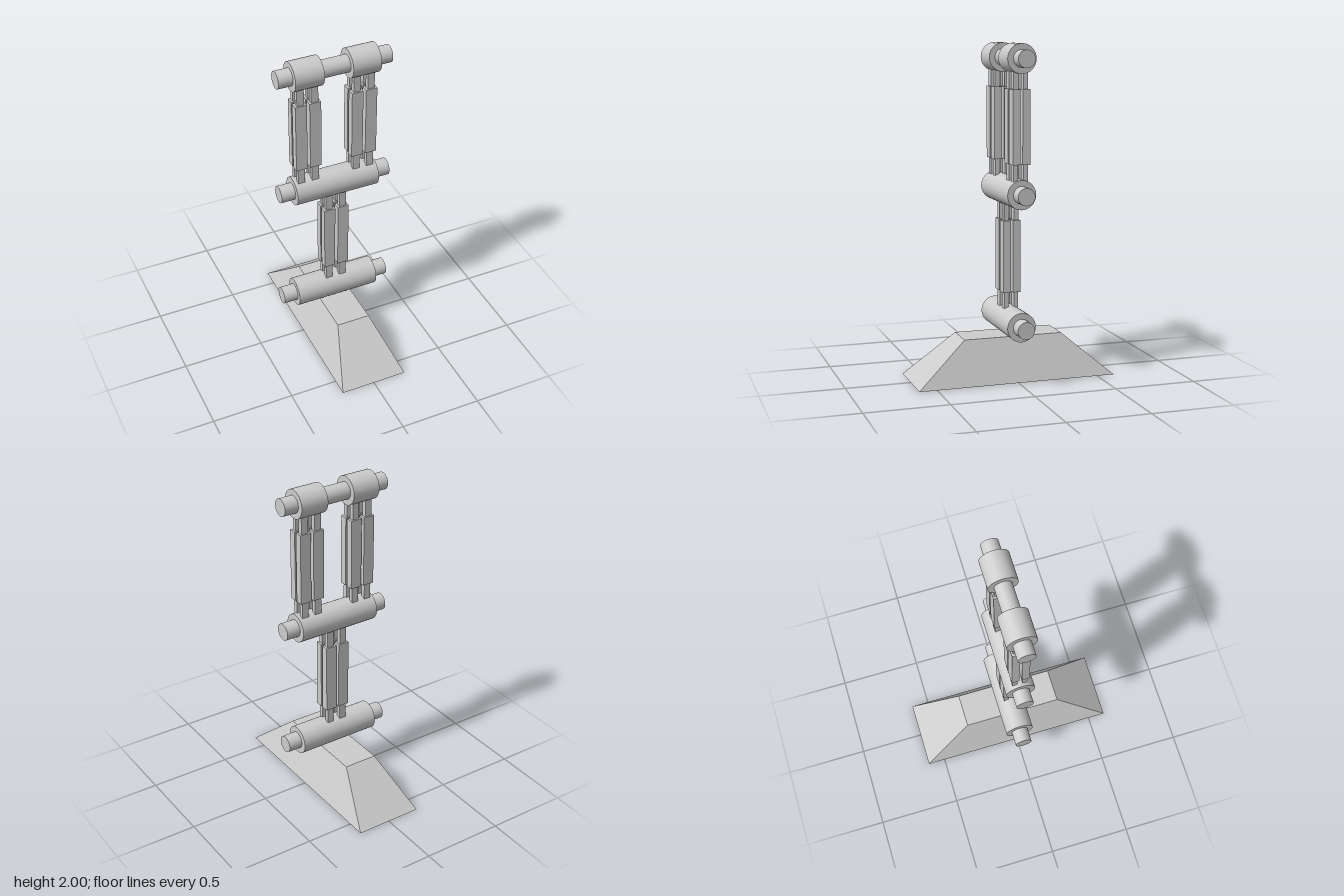
import * as THREE from 'three';

export function createModel() {
  const model = new THREE.Group();
  const grey = new THREE.MeshStandardMaterial({ color: 0xcccccc });
  grey.name = 'light grey';

  const add = (name, geometry, x, y, z, parent = model) => {
    const mesh = new THREE.Mesh(geometry, grey);
    mesh.name = name;
    mesh.position.set(x, y, z);
    parent.add(mesh);
  };
  const barrel = (radius, length) =>
    new THREE.CylinderGeometry(radius, radius, length, 32).rotateZ(Math.PI / 2);

  // Tapered foot: a box whose top is half as wide and half as long
  const foot = new THREE.BoxGeometry(0.416, 0.26, 1.214).toNonIndexed();
  const p = foot.attributes.position;
  for (let i = 0; i < p.count; i++) {
    if (p.getY(i) > 0) p.setXYZ(i, p.getX(i) / 2, p.getY(i), p.getZ(i) / 2);
  }
  foot.computeVertexNormals();
  add('foot', foot, 0, 0.13, 0);

  // Three hinge joints, each an axle with one or two sleeves
  const joints = [0.347, 1.13, 1.913];
  const names = ['ankle', 'knee', 'hip'];
  joints.forEach((y, i) => {
    add(names[i] + 'Axle', barrel(0.052, 0.694), 0, y, 0);
    if (i < 2) add(names[i] + 'Sleeve', barrel(0.087, 0.521), 0, y, 0);
    else for (const s of [-1, 1]) add('hipSleeve', barrel(0.087, 0.174), s * 0.174, y, 0);
  });

  // Bundles of four struts: a thin rod inside a thicker casing
  const rod = new THREE.BoxGeometry(0.043, 0.696, 0.028);
  const casing = new THREE.BoxGeometry(0.07, 0.434, 0.046);
  const strutBundle = (name, x, y) => {
    const bundle = new THREE.Group();
    bundle.name = name;
    bundle.position.set(x, y, 0);
    for (const sx of [-1, 1]) for (const sz of [-1, 1]) {
      add('strutRod', rod, sx * 0.0435, 0, sz * 0.03, bundle);
      add('strutCasing', casing, sx * 0.0435, 0, sz * 0.03, bundle);
    }
    model.add(bundle);
  };
  strutBundle('lowerStruts', 0, (joints[0] + joints[1]) / 2);
  strutBundle('upperStrutsRight', -0.174, (joints[1] + joints[2]) / 2);
  strutBundle('upperStrutsLeft', 0.174, (joints[1] + joints[2]) / 2);

  return model;
}
